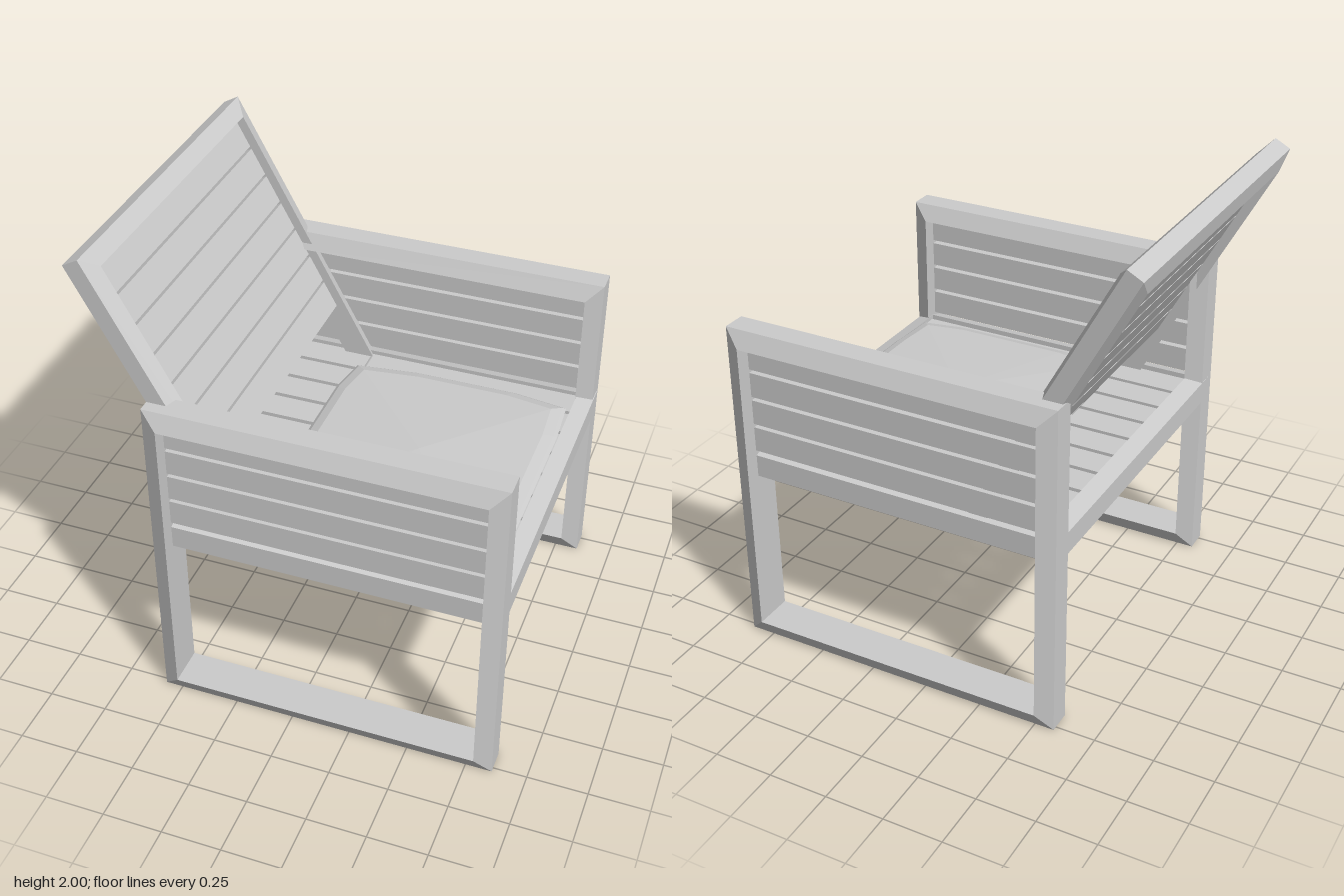
import * as THREE from 'three';

const material = new THREE.MeshStandardMaterial({ color: 0xcccccc, flatShading: true });

function mesh(name, geometry, x = 0, y = 0, z = 0) {
  const m = new THREE.Mesh(geometry, material);
  m.name = name;
  m.position.set(x, y, z);
  return m;
}

function facetted(points, index) {
  const indexed = new THREE.BufferGeometry();
  indexed.setAttribute('position', new THREE.Float32BufferAttribute(points, 3));
  indexed.setIndex(index);
  const g = indexed.toNonIndexed();
  g.computeVertexNormals();
  return g;
}

// Mitred rectangular frame in the XY plane: bars taper from the inner to the outer edge
function frameGeometry(width, height, bar, outerHalf, innerHalf) {
  const points = [], index = [];
  for (const [sx, sy] of [[1, 1], [-1, 1], [-1, -1], [1, -1]]) {
    for (const [inset, z] of [[0, outerHalf], [bar, innerHalf], [bar, -innerHalf], [0, -outerHalf]]) {
      points.push(sx * (width / 2 - inset), sy * (height / 2 - inset), z);
    }
  }
  for (let i = 0; i < 4; i++) {
    for (let j = 0; j < 4; j++) {
      const a = i * 4 + j, b = i * 4 + (j + 1) % 4;
      const c = ((i + 1) % 4) * 4 + (j + 1) % 4, d = ((i + 1) % 4) * 4 + j;
      index.push(a, c, b, a, d, c);
    }
  }
  return facetted(points, index);
}

// Thin pad with bulging sides and a low pointed crown
function cushionGeometry() {
  const outline = [
    [0.5, 0.33], [0.485, 0.545], [0.3, 0.58], [-0.25, 0.58], [-0.47, 0.545], [-0.5, 0.36],
    [-0.5, -0.36], [-0.47, -0.545], [-0.2, -0.58], [0.25, -0.58], [0.485, -0.545], [0.5, -0.33],
  ];
  const rings = [[0.96, 0], [1, 0.028], [0.97, 0.04], [0.89, 0.055]];
  const n = outline.length, points = [], index = [];
  for (const [s, y] of rings) for (const [x, z] of outline) points.push(x * s, y, z * s);
  const top = points.length / 3;
  points.push(0, 0.078, 0, 0, 0, 0);
  for (let i = 0; i < n; i++) {
    const k = (i + 1) % n;
    for (let r = 0; r < rings.length - 1; r++) {
      const a = r * n + i, b = r * n + k;
      index.push(a, a + n, b + n, a, b + n, b);
    }
    index.push((rings.length - 1) * n + i, top, (rings.length - 1) * n + k);
    index.push(i, k, top + 1);
  }
  return facetted(points, index);
}

export function createModel() {
  const chair = new THREE.Group();
  chair.name = 'slattedArmchair';

  // Side frames with four slats below each arm
  for (const side of [1, -1]) {
    const arm = new THREE.Group();
    arm.name = side > 0 ? 'frontSideFrame' : 'rearSideFrame';
    arm.position.set(side > 0 ? 0.143 : 0.135, 0, side * 0.72);
    arm.add(mesh('armAndLegFrame', frameGeometry(1.434, 1.434, 0.07, 0.05, 0.085), 0, 0.717, 0));
    for (let i = 0; i < 4; i++) {
      arm.add(mesh('armSlat', new THREE.BoxGeometry(1.3, 0.107, 0.04), 0, 0.934 + i * 0.1228, 0));
    }
    chair.add(arm);
  }

  // Seat frame and lengthwise seat slats
  const seatFrame = mesh('seatFrame', frameGeometry(1.43, 1.48, 0.07, 0.048, 0.071), 0.14, 0.809, 0);
  seatFrame.rotation.x = -Math.PI / 2;
  chair.add(seatFrame);
  for (let i = -4; i <= 4; i++) {
    chair.add(mesh('seatSlat', new THREE.BoxGeometry(1.3, 0.04, 0.13), 0.14, 0.842, i * 0.151 - 0.006));
  }

  // Cushion
  chair.add(mesh('cushion', cushionGeometry(), 0.283, 0.86, 0.02));

  // Reclined backrest, hung from the middle of its top edge
  const backrest = new THREE.Group();
  backrest.name = 'backrest';
  backrest.position.set(-0.833, 1.984, 0);
  backrest.rotation.z = THREE.MathUtils.degToRad(28.5);
  const panel = new THREE.Group();
  panel.name = 'backrestPanel';
  panel.rotation.y = Math.PI / 2;
  const length = 1.375;
  panel.add(mesh('backrestFrame', frameGeometry(1.44, length, 0.072, 0.036, 0.058), 0, -length / 2, 0));
  for (let i = 0; i < 7; i++) {
    panel.add(mesh('backSlat', new THREE.BoxGeometry(1.3, 0.125, 0.036), 0, -0.139 - i * 0.1362, 0));
  }
  backrest.add(panel);
  chair.add(backrest);

  return chair;
}
